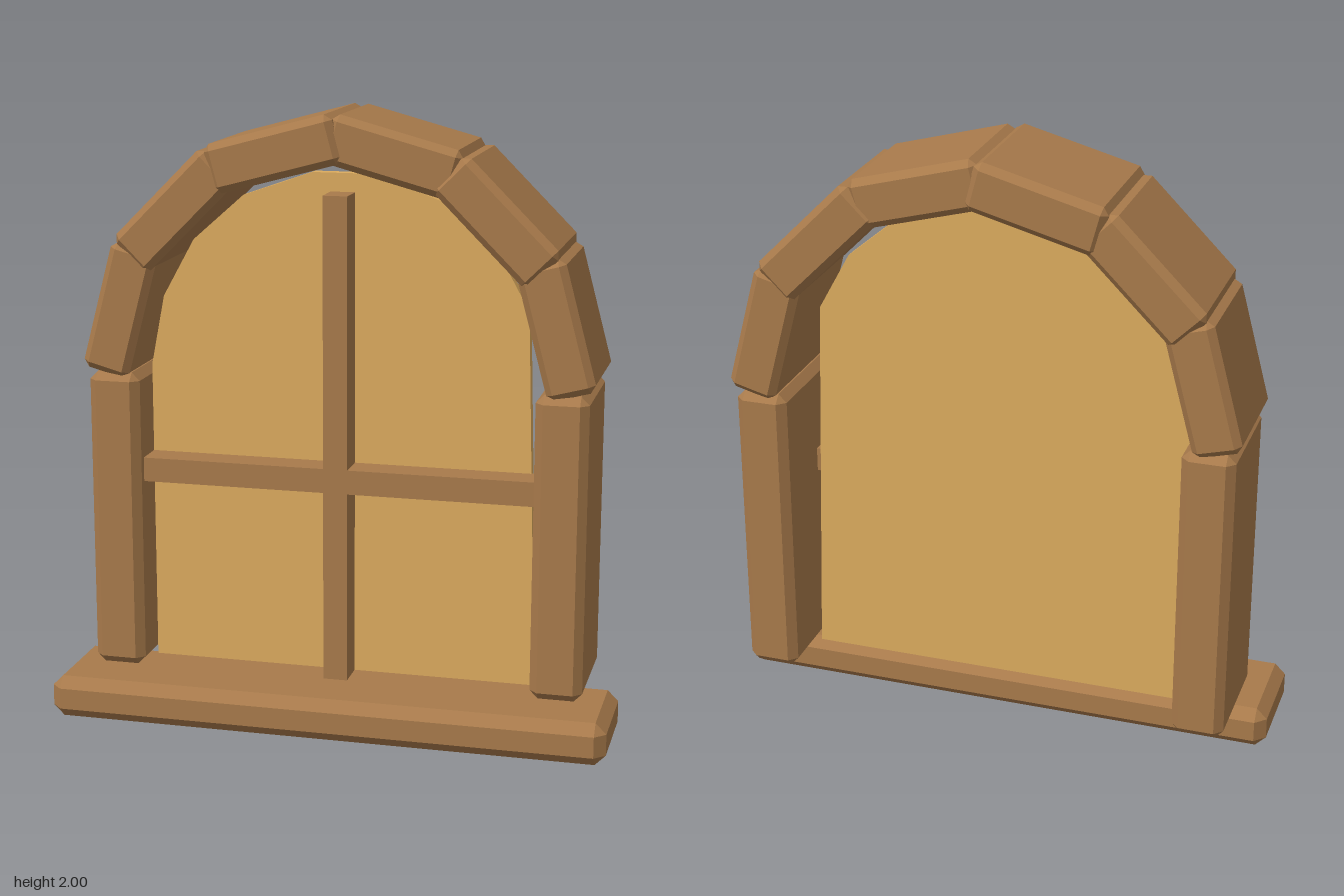
import * as THREE from 'three';
import { ConvexGeometry } from 'three/addons/geometries/ConvexGeometry.js';

const wood = new THREE.MeshStandardMaterial({ color: 0xa87a4b, flatShading: true });
const glass = new THREE.MeshStandardMaterial({ color: 0xdcab5e, flatShading: true, side: THREE.DoubleSide });

// Box with every edge cut at 45 degrees
function chamferBox(w, h, d, c) {
  const points = [];
  for (const x of [-1, 1]) for (const y of [-1, 1]) for (const z of [-1, 1]) {
    const [a, b, e] = [w / 2, h / 2, d / 2];
    points.push(
      new THREE.Vector3(x * a, y * (b - c), z * (e - c)),
      new THREE.Vector3(x * (a - c), y * b, z * (e - c)),
      new THREE.Vector3(x * (a - c), y * (b - c), z * e)
    );
  }
  return new ConvexGeometry(points);
}

export function createModel() {
  const group = new THREE.Group();
  const add = (name, geometry, material, x, y, z, turn = 0) => {
    const mesh = new THREE.Mesh(geometry, material);
    mesh.name = name;
    mesh.position.set(x, y, z);
    mesh.rotation.z = turn;
    group.add(mesh);
  };

  // Sill
  add('sill', chamferBox(1.84, 0.14, 0.37, 0.035), wood, 0, 0.07, 0.115);

  // Side posts
  for (const side of [-1, 1]) {
    add(side > 0 ? 'leftPost' : 'rightPost', chamferBox(0.17, 1.0, 0.415, 0.027), wood, side * 0.735, 0.645, -0.0725);
  }

  // Arch blocks, each with a slightly different depth
  const depths = [0.415, 0.435, 0.42, 0.455, 0.435, 0.415];
  depths.forEach((depth, i) => {
    const angle = THREE.MathUtils.degToRad(15 + 30 * i);
    add('archBlock' + (i + 1), chamferBox(0.16, 0.43, depth, 0.022), wood,
      0.735 * Math.cos(angle), 1.16 + 0.735 * Math.sin(angle), -0.075, angle);
  });

  // Arched pane
  const outline = [
    [-0.65, 0.14], [0.645, 0.14], [0.605, 1.38], [0.5, 1.57], [0.32, 1.72], [0.1, 1.8],
    [-0.1, 1.8], [-0.33, 1.72], [-0.5, 1.57], [-0.605, 1.38], [-0.65, 1.15]
  ].map(([x, y]) => new THREE.Vector2(x, y));
  add('pane', new THREE.ExtrudeGeometry(new THREE.Shape(outline), { depth: 0.04, bevelEnabled: false }), glass, 0, 0, -0.06);

  // Glazing bars
  add('uprightBar', new THREE.BoxGeometry(0.08, 1.6, 0.11), wood, 0, 0.94, 0.03);
  add('crossBar', new THREE.BoxGeometry(1.3, 0.08, 0.11), wood, 0, 0.815, 0.03);

  return group;
}
